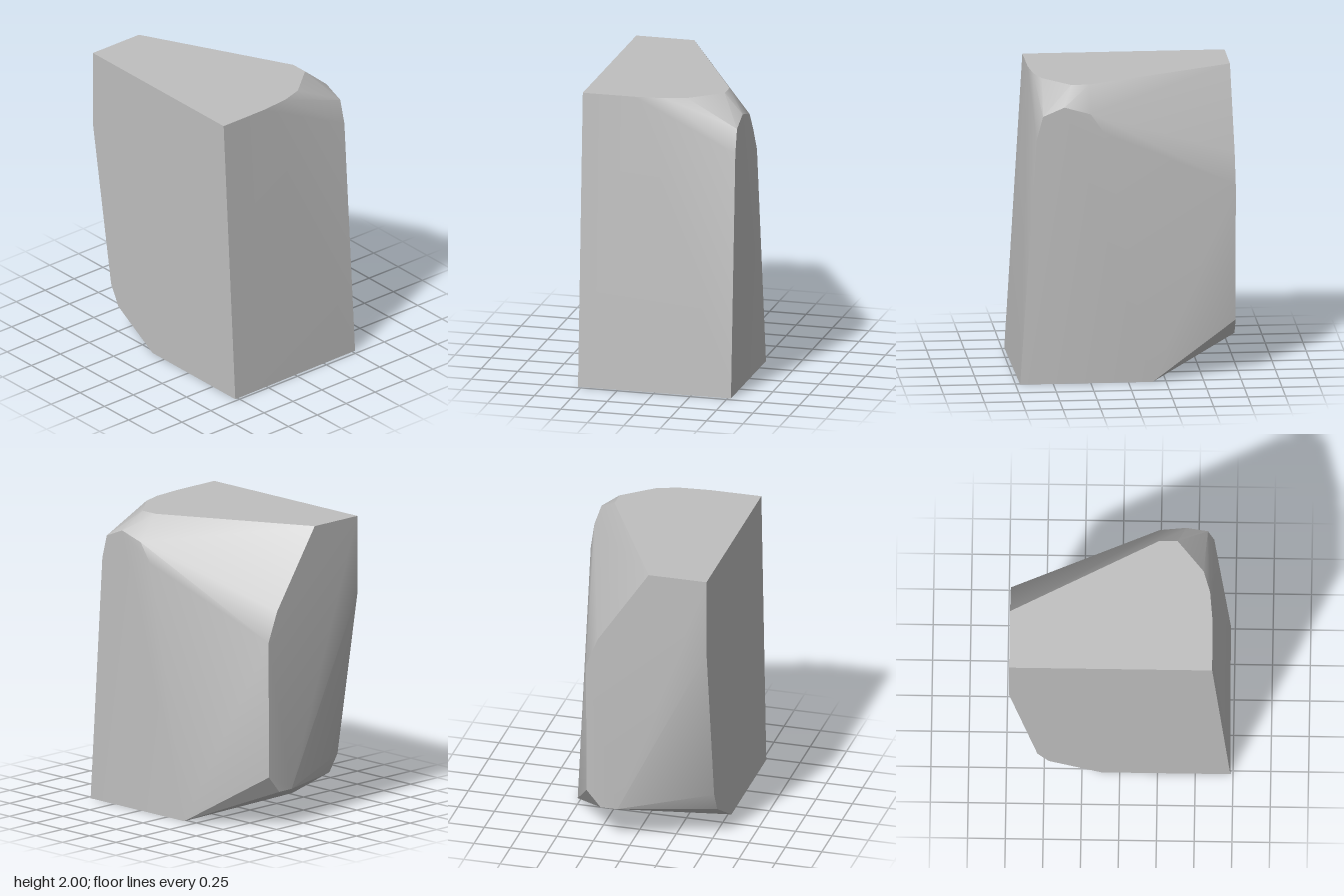
import * as THREE from 'three';
import { ConvexGeometry } from 'three/addons/geometries/ConvexGeometry.js';
import { toCreasedNormals } from 'three/addons/utils/BufferGeometryUtils.js';

// Outlines of the block's flat sides; the bevels span the gaps between them.
const TOP_Y = 2, SIDE_X = 0.523, BACK_Z = -0.732;

// x, z on the top
const topOutline = [
  [-SIDE_X, BACK_Z], [-0.125, BACK_Z], [0.385, 0.25], [0.385, 0.37],
  [0.175, 0.545], [0.03, 0.59], [-0.17, 0.609], [-SIDE_X, 0.612],
];
// z, y on the +x side
const leftOutline = [
  [0.72, 0], [0.61, 1.66], [0.568, 1.82], [0.425, 1.88],
  [0.25, 1.83], [0.16, 1.7], [-0.16, 0],
];
// z, y on the -x side
const rightOutline = [
  [0.732, 0], [BACK_Z, 1.47], [-0.545, 0.345], [-0.47, 0.205], [-0.12, 0],
];
// x, y on the back
const backOutline = [
  [0.225, 1.48], [0.305, 1.28], [0.302, 0.36], [0.205, 0.245], [0.09, 0.246],
];

export function createModel() {
  const stone = new THREE.MeshStandardMaterial({ color: 0xbfbfbf });
  stone.name = 'stone grey';

  const points = [
    ...topOutline.map(([x, z]) => new THREE.Vector3(x, TOP_Y, z)),
    ...leftOutline.map(([z, y]) => new THREE.Vector3(SIDE_X, y, z)),
    ...rightOutline.map(([z, y]) => new THREE.Vector3(-SIDE_X, y, z)),
    ...backOutline.map(([x, y]) => new THREE.Vector3(x, y, BACK_Z)),
  ];

  // Chipped stone block: smooth bevels, sharp main edges
  const geometry = toCreasedNormals(new ConvexGeometry(points), THREE.MathUtils.degToRad(30));
  const rock = new THREE.Mesh(geometry, stone);
  rock.name = 'rock';

  const model = new THREE.Group();
  model.name = 'stoneBlock';
  model.add(rock);
  return model;
}
